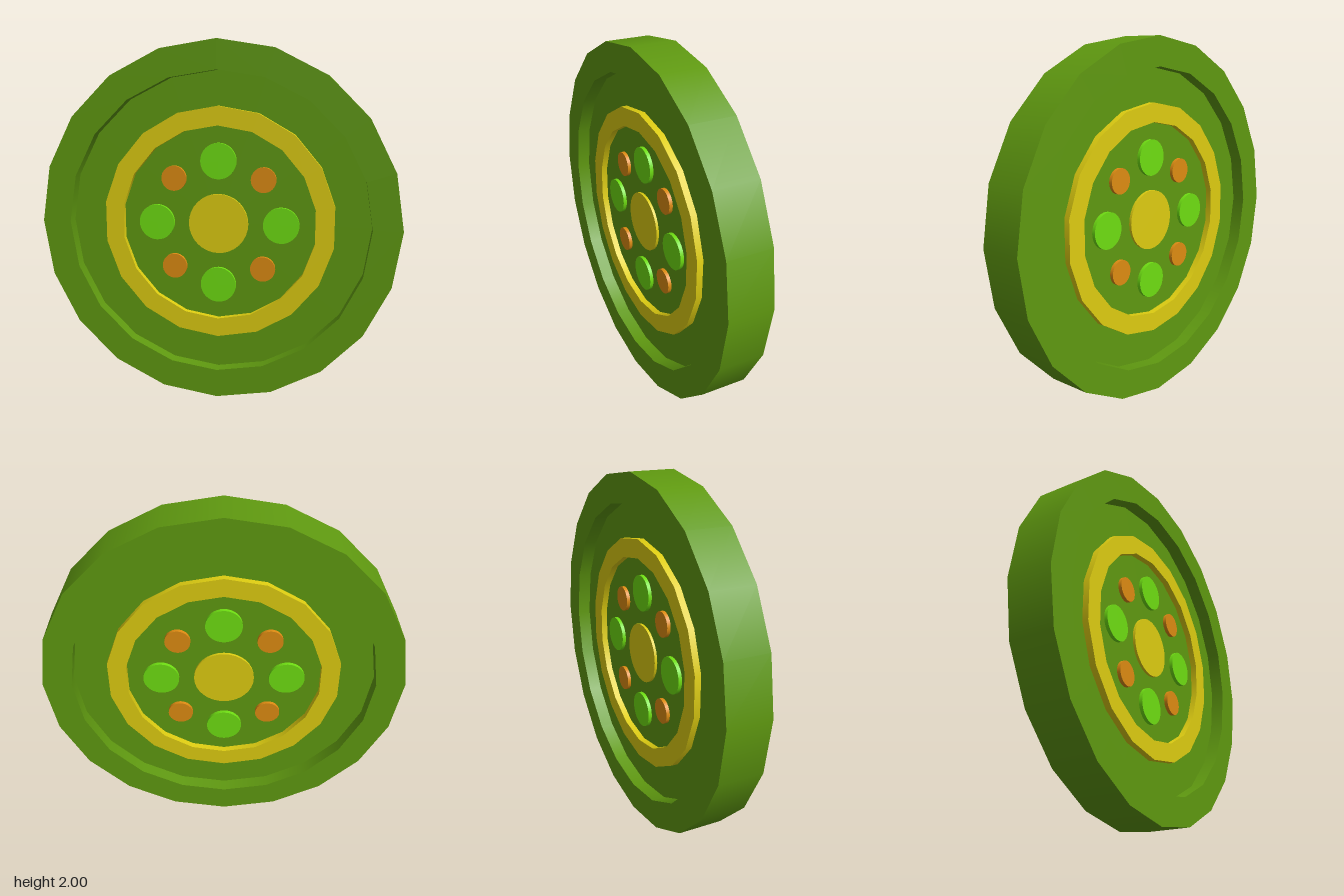
import * as THREE from 'three';
import { mergeGeometries } from 'three/addons/utils/BufferGeometryUtils.js';

const material = (color) => new THREE.MeshStandardMaterial({ color });

// Square-section ring around z: smooth around, sharp at the profile corners
function ringGeometry(inner, outer, half, sides) {
  const corners = [[outer, -half], [outer, half], [inner, half], [inner, -half]]
    .map(([r, y]) => new THREE.Vector2(r, y));
  const bands = corners.map((c, i) =>
    new THREE.LatheGeometry([c, corners[(i + 1) % 4]], sides));
  return mergeGeometries(bands).rotateX(Math.PI / 2);
}

// Solid disc whose axis is z
function discGeometry(radius, half, sides) {
  return new THREE.CylinderGeometry(radius, radius, half * 2, sides).rotateX(Math.PI / 2);
}

export function createModel() {
  const group = new THREE.Group();
  const green = material(0x5f9910);
  const gold = material(0xddcc11);
  const lime = material(0x6edd12);
  const orange = material(0xdd8b12);

  const add = (name, geometry, mat, x = 0, y = 0) => {
    const mesh = new THREE.Mesh(geometry, mat);
    mesh.name = name;
    mesh.position.set(x, 1 + y, 0);
    group.add(mesh);
  };

  // Thick outer rim with a recessed plate on both faces
  add('rim', ringGeometry(0.84, 1, 0.125, 20), green);
  add('plate', discGeometry(0.84, 0.05, 20), green);

  // Raised band and central hub
  add('band', ringGeometry(0.545, 0.65, 0.085, 18), gold);
  add('hub', discGeometry(0.167, 0.065, 32), gold);

  // Alternating large and small studs, showing on both faces
  const largeStud = discGeometry(0.1, 0.07, 32);
  const smallStud = discGeometry(0.07, 0.07, 32);
  for (let i = 0; i < 4; i++) {
    const a = (i * Math.PI) / 2;
    const b = a + Math.PI / 4;
    add('largeStud', largeStud, lime, 0.35 * Math.cos(a), 0.35 * Math.sin(a));
    add('smallStud', smallStud, orange, 0.354 * Math.cos(b), 0.354 * Math.sin(b));
  }
  return group;
}
